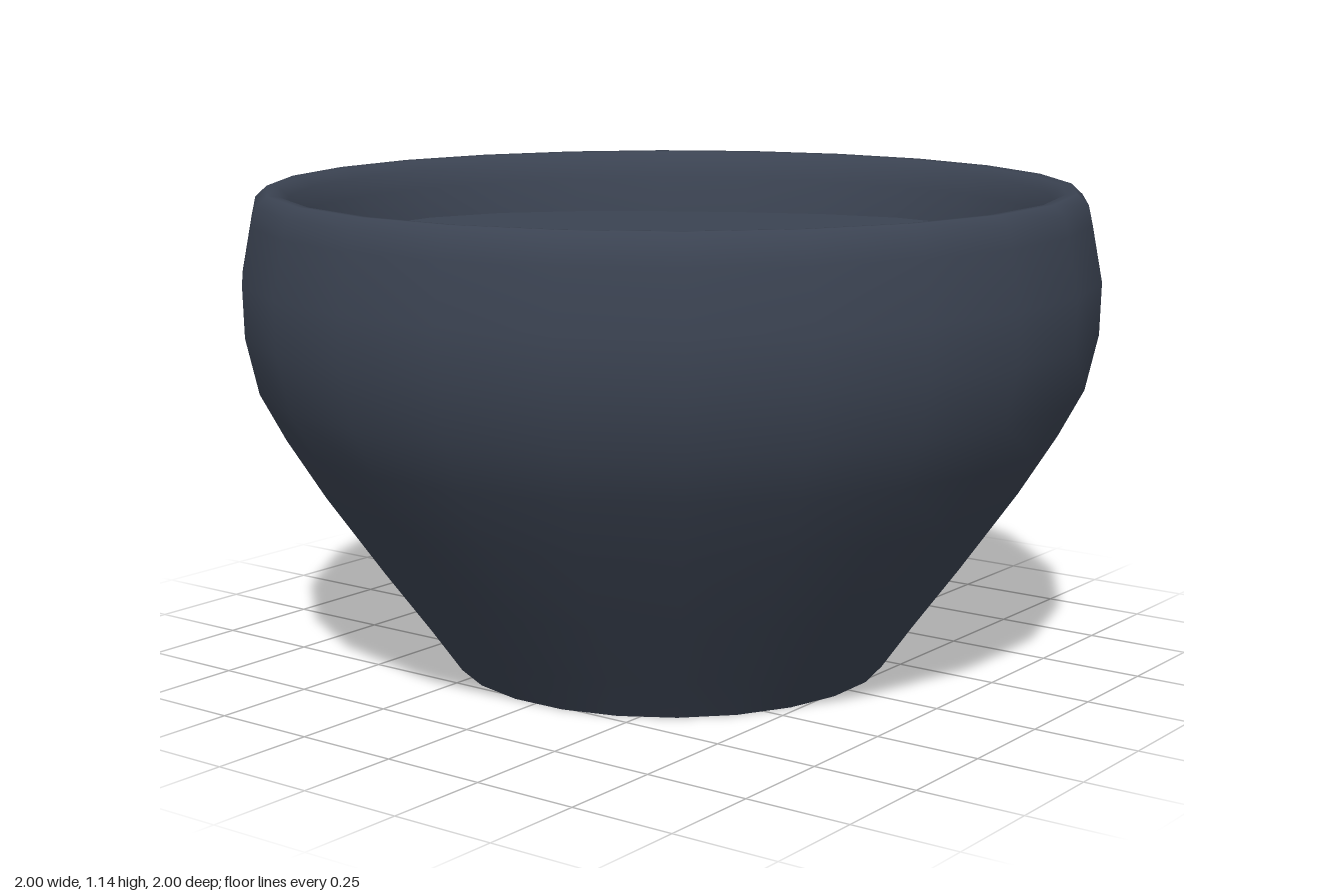
import * as THREE from 'three';

const SIDES = 24;
const STEP = (Math.PI * 2) / SIDES;
const TURN = THREE.MathUtils.degToRad(8.4); // twist of the first corner away from +z

const clay = new THREE.MeshStandardMaterial({ color: 0x3b4352 });
clay.name = 'slate blue';
const soot = new THREE.MeshStandardMaterial({ color: 0x0e0e0e });
soot.name = 'black';

function lathe(points, material, name) {
  const pts = points.map(([r, y]) => new THREE.Vector2(r, y));
  const mesh = new THREE.Mesh(new THREE.LatheGeometry(pts, SIDES, TURN, Math.PI * 2), material);
  mesh.name = name;
  return mesh;
}

// Point on the faceted lower wall, pushed out slightly
function wallPoint(phi, y) {
  const corner = 0.517 + (0.697 - 0.517) * (y / 0.25);
  const local = THREE.MathUtils.euclideanModulo(phi - TURN, STEP) - STEP / 2;
  const r = (corner * Math.cos(STEP / 2)) / Math.cos(local) + 0.005;
  return [r * Math.sin(phi), y, r * Math.cos(phi)];
}

// Ragged black stain climbing from the foot at the back left
function makeStain() {
  // angle in degrees from +x towards -z, height
  const outline = [[-8, 0], [11, 0.05], [21, 0.08], [30, 0.135], [43, 0.15],
    [49, 0.175], [54, 0.145], [61, 0.115], [77, 0.06], [88, 0.045], [100, 0]];
  const heightAt = (deg) => {
    const i = Math.max(1, outline.findIndex(([a]) => a >= deg));
    const [a0, h0] = outline[i - 1], [a1, h1] = outline[i];
    return THREE.MathUtils.mapLinear(deg, a0, a1, h0, h1);
  };
  const positions = [], indices = [];
  const n = 72;
  for (let i = 0; i <= n; i++) {
    const deg = -8 + (108 * i) / n;
    const phi = THREE.MathUtils.degToRad(90 + deg);
    positions.push(...wallPoint(phi, 0), ...wallPoint(phi, heightAt(deg)));
    if (i < n) {
      const a = i * 2;
      indices.push(a, a + 2, a + 1, a + 2, a + 3, a + 1);
    }
  }
  const geometry = new THREE.BufferGeometry();
  geometry.setAttribute('position', new THREE.Float32BufferAttribute(positions, 3));
  geometry.setIndex(indices);
  geometry.computeVertexNormals();
  const mesh = new THREE.Mesh(geometry, soot);
  mesh.name = 'stain';
  return mesh;
}

export function createModel() {
  const group = new THREE.Group();
  group.name = 'bowl';

  // Outer wall, rounded rim and inner lip in one profile
  group.add(lathe([
    [0.517, 0], [0.587, 0.1], [0.697, 0.25], [0.83, 0.44], [0.917, 0.58],
    [0.975, 0.69], [1.004, 0.82], [1.007, 0.94], [0.982, 1.07], [0.972, 1.115],
    [0.945, 1.14], [0.92, 1.138], [0.895, 1.115], [0.875, 1.07], [0.855, 0.99], [0.84, 0.92],
  ], clay, 'wall'));

  // Gently uneven filling just below the rim
  const filling = lathe([[0.855, 0.99], [0.6, 0.995], [0.3, 1], [0, 1]], clay, 'filling');
  const p = filling.geometry.attributes.position;
  for (let i = 0; i < p.count; i++) {
    const x = p.getX(i), z = p.getZ(i);
    p.setY(i, p.getY(i) + 0.008 * Math.hypot(x, z) * Math.sin(3 * Math.atan2(z, x)));
  }
  group.add(filling);

  // Underside
  group.add(lathe([[0, 0], [0.517, 0]], soot, 'base'));
  group.add(makeStain());
  return group;
}
